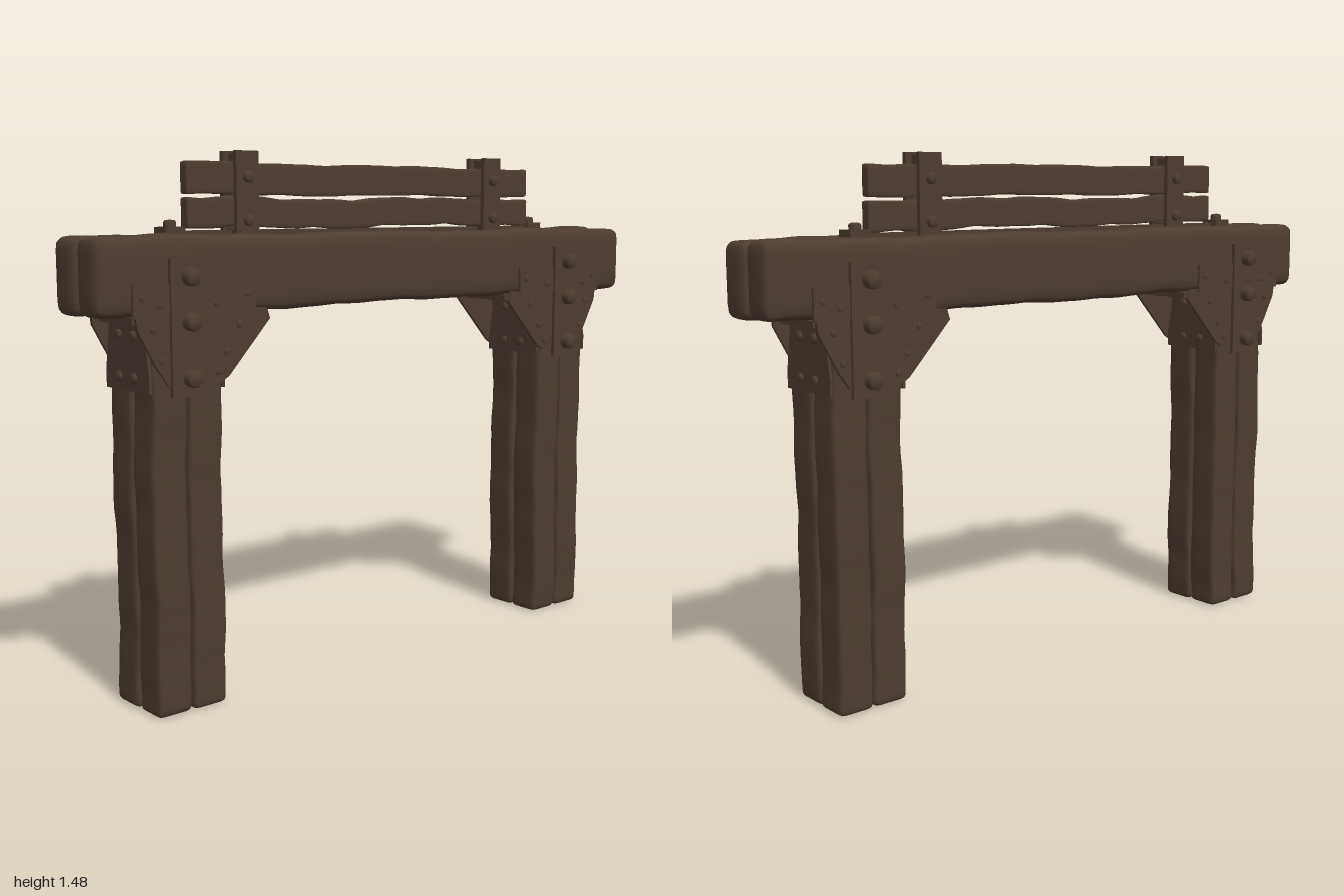
import * as THREE from 'three';
import { mergeVertices } from 'three/addons/utils/BufferGeometryUtils.js';

const brown = new THREE.MeshStandardMaterial({ color: 0x4c3c30 });
brown.name = 'dark brown';

function add(parent, name, geometry, x = 0, y = 0, z = 0) {
  const mesh = new THREE.Mesh(geometry, brown);
  mesh.name = name;
  mesh.position.set(x, y, z);
  parent.add(mesh);
  return mesh;
}

// Rounded, hand-hewn timber lying along x; wobble (wy, wz) moves its faces in and out
function timber(length, height, depth, radius, seed, wy, wz, segments = 56) {
  const box = new THREE.BoxGeometry(2, 2, 2, segments, 8, 8);
  box.deleteAttribute('uv');
  box.deleteAttribute('normal');
  const geometry = mergeVertices(box);
  const p = geometry.attributes.position;
  const half = new THREE.Vector3(length / 2, height / 2, depth / 2);
  const inner = half.clone().subScalar(radius);
  const v = new THREE.Vector3(), core = new THREE.Vector3();
  const low = inner.clone().negate();
  const ease = t => 0.4 * t + 0.6 * Math.sin(t * Math.PI / 2);
  for (let i = 0; i < p.count; i++) {
    v.fromBufferAttribute(p, i);
    v.set(ease(v.x), ease(v.y), ease(v.z)).multiply(half);
    core.copy(v).clamp(low, inner);
    v.sub(core);
    if (v.lengthSq() > 0) v.setLength(radius);
    v.add(core);
    const sy = v.y / half.y, sz = v.z / half.z;
    const a = v.x * 9 + seed * 2.3 + sy * 1.7, b = v.x * 11 + seed * 3.1 + sz * 2;
    v.y += sy * wy * (Math.sin(a) + 0.6 * Math.sin(a * 2.7 + seed) + 0.3 * Math.sin(a * 5.3) - 0.9);
    v.z += sz * wz * (Math.sin(b) + 0.6 * Math.sin(b * 2.3 + seed) + 0.3 * Math.sin(b * 5.9) - 0.9);
    p.setXYZ(i, v.x, v.y, v.z);
  }
  geometry.computeVertexNormals();
  return geometry;
}

// Plate cut from an outline in the xy plane, centred on z
function plate(points, thickness) {
  const shape = new THREE.Shape(points.map(([x, y]) => new THREE.Vector2(x, y)));
  return new THREE.ExtrudeGeometry(shape, { depth: thickness, bevelEnabled: false })
    .translate(0, 0, -thickness / 2);
}

// Round-edged bolt head, growing along +z from its base
function boltHead(radius, height) {
  const profile = [[radius, 0], [radius, height * 0.65], [radius * 0.8, height * 0.92], [0, height]]
    .map(([x, y]) => new THREE.Vector2(x, y));
  return new THREE.LatheGeometry(profile, 14).rotateX(Math.PI / 2);
}

// Timber leg with its ironwork; +x points towards the middle of the frame
function createSupport(name, x, turn, seed) {
  const g = new THREE.Group();
  g.name = name;
  g.position.x = x;
  g.rotation.y = turn;

  // four upright posts
  for (const sx of [-1, 1]) for (const sz of [-1, 1]) {
    const s = seed + sx * 1.3 + sz * 2.9;
    const geo = timber(1.065, 0.109, 0.107, 0.016, s, 0.0025, 0.0018, 44).rotateZ(Math.PI / 2);
    add(g, 'legPost', geo, 0.002 + sx * 0.055, 0.5325, sz * 0.0545);
  }

  // plates, straps and bolts on front and back
  for (const side of [-1, 1]) {
    const face = new THREE.Group();
    face.name = side > 0 ? 'frontBracket' : 'backBracket';
    g.add(face);
    add(face, 'gusset', plate([[-0.155, 1.07], [-0.15, 1.03], [-0.095, 0.93], [-0.06, 0.88],
      [0.1, 0.88], [0.125, 0.895], [0.26, 1.04], [0.25, 1.07]], 0.01), 0, 0, side * 0.111);
    add(face, 'crossPlate', new THREE.BoxGeometry(0.375, 0.085, 0.008), 0.025, 1.102, side * 0.115);
    add(face, 'strap', new THREE.BoxGeometry(0.112, 0.355, 0.012), 0, 1.03, side * 0.12);
    const ends = side > 0 ? 0 : Math.PI;
    for (const y of [0.9, 1.045, 1.16])
      add(face, 'bolt', boltHead(0.024, 0.032), 0, y, side * 0.125).rotation.y = ends;
    for (const [rx, ry] of [[-0.135, 1.11], [-0.085, 1.09], [0.185, 1.11], [0.085, 1.09]])
      add(face, 'rivet', boltHead(0.009, 0.006), rx, ry, side * 0.118).rotation.y = ends;
    for (const [rx, ry] of [[-0.105, 1.03], [-0.08, 0.95], [0.16, 1.03], [0.12, 0.96], [0.09, 0.91]])
      add(face, 'rivet', boltHead(0.01, 0.007), rx, ry, side * 0.115).rotation.y = ends;
  }

  // bearing plate under the beam
  add(g, 'bearingPlate', new THREE.BoxGeometry(0.39, 0.018, 0.165), 0.05, 1.05, 0);

  // tapered plates on the outer and inner sides of the leg
  for (const side of [-1, 1]) {
    const a = side * Math.PI / 2, px = 0.002 + side * 0.112;
    const sidePlate = plate([[-0.105, 0.865], [0.105, 0.865], [0.106, 0.91], [0.083, 1.045],
      [-0.083, 1.045], [-0.106, 0.91]], 0.008);
    add(g, 'sidePlate', sidePlate, px, 0, 0).rotation.y = a;
    for (const z of [-0.036, 0.036]) for (const y of [0.9, 1.01])
      add(g, 'sideRivet', boltHead(0.013, 0.01), px + side * 0.003, y, z).rotation.y = a;
  }
  return g;
}

// Iron clamp holding the upright planks
function createClamp(name, x) {
  const g = new THREE.Group();
  g.name = name;
  g.position.set(x, 0, -0.012);
  for (const side of [-1, 1]) {
    add(g, 'clampStrap', new THREE.BoxGeometry(0.074, 0.225, 0.014), 0, 1.372, side * 0.032);
    for (const y of [1.3, 1.415])
      add(g, 'clampBolt', boltHead(0.016, 0.017), 0, y, side * 0.038).rotation.y = side > 0 ? 0 : Math.PI;
  }
  add(g, 'spacer', new THREE.BoxGeometry(0.035, 0.022, 0.052), 0, 1.466, 0);
  add(g, 'clampFoot', new THREE.BoxGeometry(0.055, 0.016, 0.08), 0, 1.268, 0);
  return g;
}

export function createModel() {
  const model = new THREE.Group();
  model.name = 'timberFrame';

  // split main beam
  for (const side of [-1, 1])
    add(model, side > 0 ? 'frontBeam' : 'backBeam',
      timber(2, 0.207, 0.109, 0.03, side * 2 + 1, 0.0025, 0.001, 80), 0, 1.163, side * 0.0565 - 0.001);

  model.add(createSupport('rightSupport', -0.742, 0, 1));
  model.add(createSupport('leftSupport', 0.71, Math.PI, 6));

  // upright planks above the beam
  add(model, 'lowerPlank', timber(1.31, 0.088, 0.038, 0.006, 2, 0.004, 0.001), -0.01, 1.318, -0.012);
  add(model, 'upperPlank', timber(1.31, 0.09, 0.036, 0.006, 5, 0.002, 0.001), -0.01, 1.41, -0.012);
  model.add(createClamp('rightClamp', -0.485));
  model.add(createClamp('leftClamp', 0.46));

  // thin strip along the top of the beam with its end fixings
  add(model, 'topStrip', new THREE.BoxGeometry(1.42, 0.014, 0.026), -0.005, 1.266, -0.025);
  for (const x of [-0.698, 0.69]) {
    add(model, 'stripEnd', new THREE.BoxGeometry(0.062, 0.022, 0.055), x, 1.272, -0.03);
    add(model, 'stripBolt', boltHead(0.017, 0.02), x, 1.282, -0.03).rotation.x = -Math.PI / 2;
  }
  return model;
}
